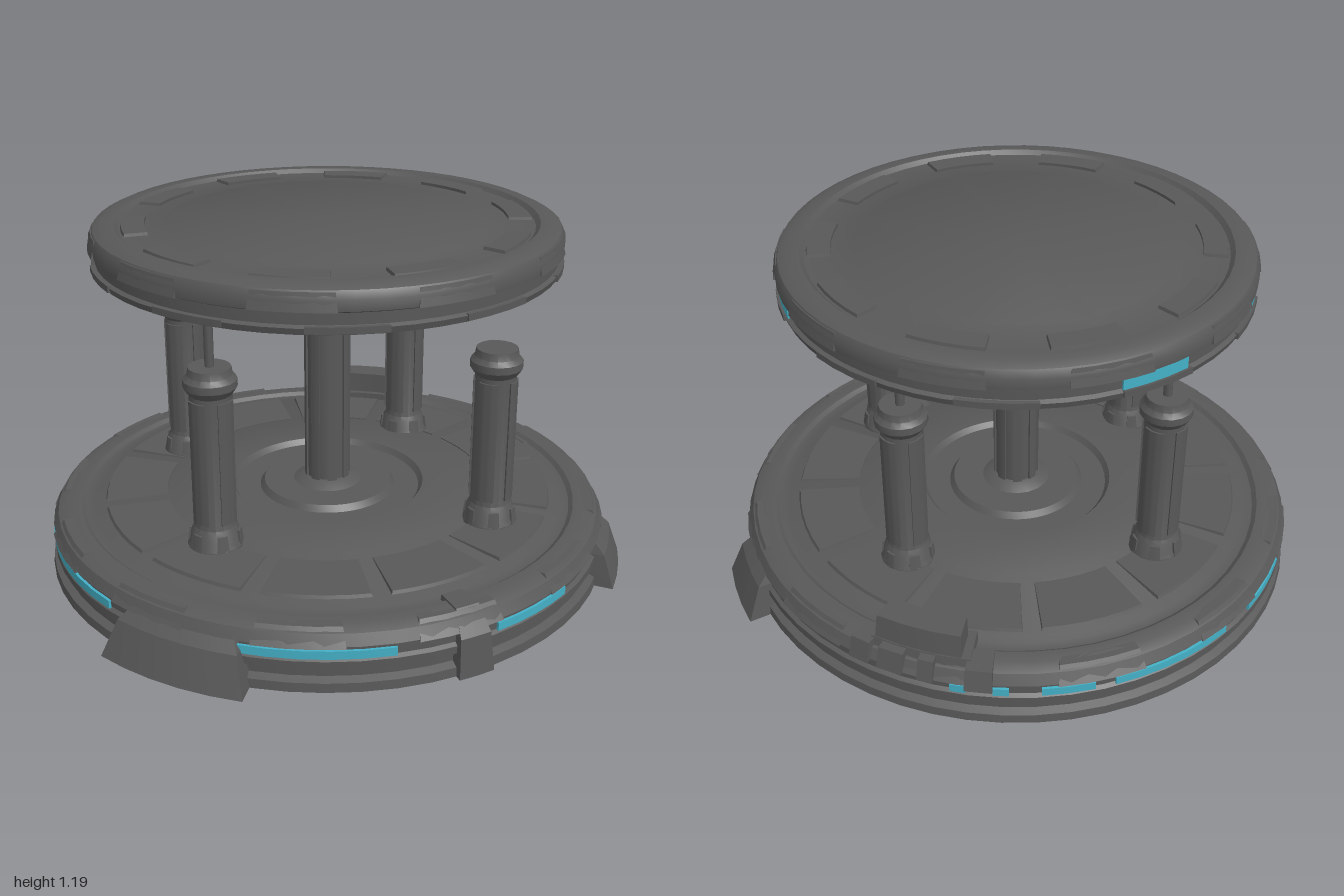
import * as THREE from 'three';
import { toCreasedNormals } from 'three/addons/utils/BufferGeometryUtils.js';

const RAD = Math.PI / 180;

export function createModel() {
  const metal = new THREE.MeshStandardMaterial({ color: 0x585858 });
  metal.name = 'dark grey metal';
  const glow = new THREE.MeshStandardMaterial({ color: 0x44b0c6 });
  glow.name = 'cyan light';

  const model = new THREE.Group();
  model.name = 'pedestal';
  const body = new THREE.Group();
  body.name = 'assembly';
  body.position.x = -0.02;
  model.add(body);

  function add(name, geometry, material = metal, parent = body) {
    const mesh = new THREE.Mesh(geometry, material);
    mesh.name = name;
    parent.add(mesh);
    return mesh;
  }

  // Turned part from [radius, height] pairs, bottom to top
  function turned(points, segments) {
    const lathe = new THREE.LatheGeometry(points.map(p => new THREE.Vector2(...p)), segments);
    return toCreasedNormals(lathe, 0.6);
  }

  // Curved block; angles in degrees from +z towards +x, topR pulls the outer top edge in
  function arcBlock(r0, r1, y0, y1, a0, a1, topR = r1, inset = 0) {
    const n = Math.max(1, Math.ceil((a1 - a0) / 6));
    const pts = [];
    const put = (r, a) => pts.push(new THREE.Vector2(r * Math.sin(a * RAD), -r * Math.cos(a * RAD)));
    for (let i = 0; i <= n; i++) put(r1, a0 + (a1 - a0) * i / n);
    for (let i = n; i >= 0; i--) put(r0, a0 + (a1 - a0) * i / n);
    const geo = new THREE.ExtrudeGeometry(new THREE.Shape(pts), { depth: y1 - y0, bevelEnabled: false });
    geo.rotateX(-Math.PI / 2).translate(0, y0, 0);
    const p = geo.attributes.position;
    const mid = (a0 + a1) / 2 * RAD;
    for (let i = 0; i < p.count; i++) {
      if (p.getY(i) < (y0 + y1) / 2) continue;
      const x = p.getX(i), z = p.getZ(i), r = Math.hypot(x, z);
      let d = Math.atan2(x, z) - mid;
      d = Math.atan2(Math.sin(d), Math.cos(d)) * (1 - inset);
      const q = r > (r0 + r1) / 2 ? topR : r0;
      p.setXYZ(i, q * Math.sin(mid + d), p.getY(i), q * Math.cos(mid + d));
    }
    geo.computeVertexNormals();
    return toCreasedNormals(geo, 0.5);
  }

  // Base disc with grooved rim and stepped centre
  add('baseDisc', turned([
    [0, 0], [0.978, 0], [0.975, 0.03], [0.95, 0.04], [0.95, 0.065], [0.968, 0.075],
    [0.968, 0.1], [0.955, 0.108], [0.955, 0.142], [0.968, 0.15], [0.95, 0.185], [0.915, 0.2],
    [0.87, 0.2], [0.855, 0.188], [0.82, 0.188], [0.8, 0.2], [0.55, 0.208], [0.53, 0.22],
    [0.34, 0.226], [0.325, 0.207], [0.24, 0.207], [0.225, 0.228], [0, 0.228],
  ], 56));

  // Rim plates and deck panels
  for (let i = 0; i < 12; i++) {
    const a = i * 30 + 4;
    add('rimPlate', arcBlock(0.9, 0.973, 0.145, 0.2, a, a + 17, 0.935, 0.06));
    add('deckPanel', arcBlock(0.57, 0.79, 0.19, 0.211, a - 2, a + 24, 0.78, 0.03));
  }

  // Clamps gripping the base edge: start, end, outer radius, shoulder radius, shoulder height, top
  const clamps = [
    [-54, -26, 1.05, 1.0, 0.12, 0.185], [11, 18, 1.0, 0.985, 0.13, 0.205],
    [55, 71, 1.04, 1.0, 0.11, 0.185], [101, 117, 1.05, 1.0, 0.12, 0.19],
  ];
  for (const [a0, a1, r, shoulder, h, top] of clamps) {
    const w = (a1 - a0) * 0.06;
    add('edgeClamp', arcBlock(0.84, r, 0, h, a0, a1, shoulder, 0.12));
    add('clampCap', arcBlock(0.84, shoulder, h, top, a0 + w, a1 - w, 0.93, 0.2));
  }

  // Raised block and small fittings on the back edge
  add('backBlock', arcBlock(0.83, 0.94, 0.17, 0.298, 148, 166, 0.92, 0.03));
  add('backBlockFoot', arcBlock(0.81, 0.95, 0.15, 0.22, 147, 168, 0.935, 0.03));
  for (const [a, w, r] of [[167, 5, 0.995], [158, 3, 0.985], [150, 5, 0.985], [144, 4, 0.985]]) {
    add('backFitting', arcBlock(0.88, r, 0.145, 0.215, a, a + w, r - 0.02));
  }

  // Base light strips set into the rim groove
  const baseLights = [
    [-29, 0], [20, 39], [91, 92], [97, 102], [164, 167], [172, 175],
    [181, 191], [195, 221], [229, 266], [270, 303],
  ];
  for (const [a0, a1] of baseLights) {
    add('baseLight', arcBlock(0.96, 0.969, 0.109, 0.137, a0, a1), glow);
  }

  // Central column with shallow ribs
  add('column', turned([[0, 0.2], [0.12, 0.2], [0.12, 0.228], [0.09, 0.245], [0.074, 0.25], [0.074, 0.9], [0, 0.9]], 20));
  for (let i = 0; i < 8; i++) {
    const a = i * 45 - 12;
    add('columnRib', arcBlock(0.06, 0.08, 0.24, 0.89, a, a + 24));
  }

  // Hub under the platform with four arms and recess boxes between
  add('hub', turned([
    [0, 0.885], [0.23, 0.885], [0.27, 0.9], [0.3, 0.94], [0.315, 0.98], [0.338, 1.0], [0.338, 1.05], [0, 1.05],
  ], 32));
  add('hubCollar', turned([[0, 0.875], [0.1, 0.875], [0.115, 0.9], [0.115, 0.93], [0, 0.93]], 20));
  for (let i = 0; i < 4; i++) {
    const arm = new THREE.Group();
    arm.name = 'hubArm';
    arm.rotation.y = i * Math.PI / 2;
    body.add(arm);
    const side = new THREE.Shape();
    side.moveTo(0, 0.88).lineTo(0.25, 0.88).lineTo(0.3, 0.9).lineTo(0.335, 0.95);
    side.lineTo(0.345, 1.01).lineTo(0.345, 1.05).lineTo(0, 1.05);
    const geo = new THREE.ExtrudeGeometry(side, { depth: 0.15, bevelEnabled: false });
    geo.translate(0, 0, -0.075);
    add('armBeam', geo, metal, arm);
    for (const a of [27, 48]) {
      add('hubBox', arcBlock(0.24, 0.325, 0.935, 0.99, a, a + 15), metal, arm);
    }
  }

  // Four support pillars; all but one carry a thin rod up to the platform
  const pillars = [[-0.45, 0.355, true], [0.475, 0.39, false], [0.39, -0.4, true], [-0.45, -0.4, true]];
  const pillarProfile = [
    [0, 0.19], [0.092, 0.19], [0.092, 0.215], [0.083, 0.23], [0.078, 0.265], [0.068, 0.28],
    [0.068, 0.735], [0.086, 0.76], [0.086, 0.785], [0.072, 0.8], [0.068, 0.825], [0, 0.825],
  ];
  for (const [x, z, hasRod] of pillars) {
    const pillar = new THREE.Group();
    pillar.name = 'supportPillar';
    pillar.position.set(x, 0, z);
    pillar.rotation.y = Math.atan2(x, z);
    body.add(pillar);
    add('pillarShaft', turned(pillarProfile, 16), metal, pillar);
    for (let i = 0; i < 6; i++) {
      add('footLug', arcBlock(0.06, 0.093, 0.2, 0.265, i * 60 - 13, i * 60 + 13, 0.084, 0.1), metal, pillar);
    }
    for (let i = 0; i < 4; i++) {
      add('shaftPanel', arcBlock(0.055, 0.073, 0.3, 0.72, i * 90 - 28, i * 90 + 28), metal, pillar);
    }
    if (hasRod) {
      const rod = new THREE.CylinderGeometry(0.015, 0.015, 0.24, 8);
      add('rod', rod.translate(0, 0.935, 0), metal, pillar);
    }
  }

  // Round platform with rim groove and recessed top
  add('platform', turned([
    [0, 1.045], [0.772, 1.045], [0.778, 1.065], [0.765, 1.072], [0.765, 1.108], [0.78, 1.115],
    [0.782, 1.15], [0.768, 1.175], [0.74, 1.188], [0.7, 1.188], [0.685, 1.174], [0.54, 1.174],
    [0.53, 1.18], [0, 1.18],
  ], 56));

  // Plates around the platform's rim and top
  for (let i = 0; i < 10; i++) {
    const a = i * 36 + 7;
    add('platformRimPlate', arcBlock(0.7, 0.787, 1.115, 1.17, a, a + 19, 0.774, 0.05));
    add('lowerRimPlate', arcBlock(0.7, 0.782, 1.05, 1.071, a + 12, a + 30));
    add('topPlate', arcBlock(0.6, 0.68, 1.165, 1.184, a - 3, a + 18, 0.675, 0.04));
  }

  // Platform light strips
  for (const [a0, a1] of [[81, 111], [199, 216], [246, 267]]) {
    add('platformLight', arcBlock(0.766, 0.774, 1.071, 1.11, a0, a1), glow);
  }

  return model;
}
